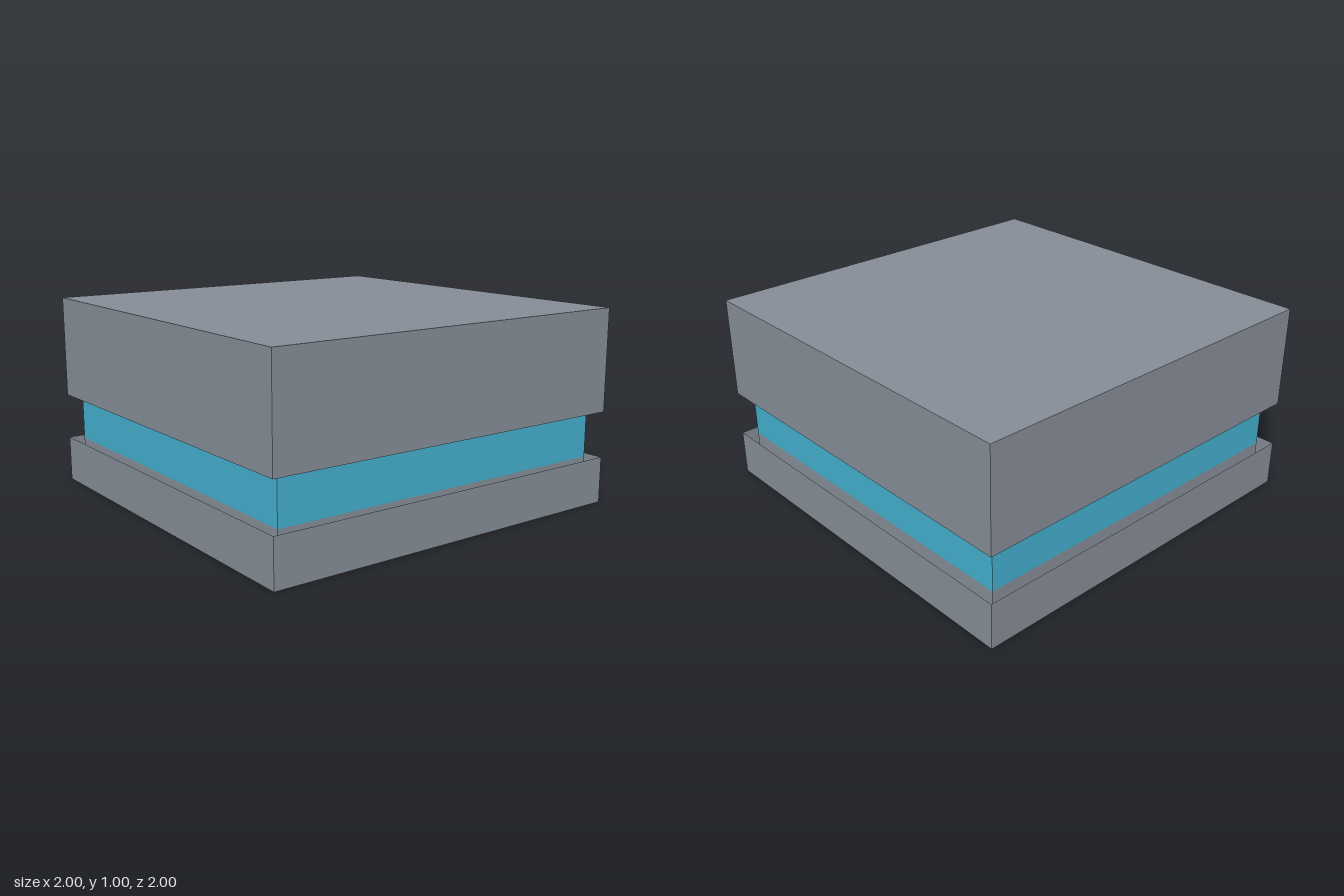
import * as THREE from 'three';

const WALL = 1;      // half width of the outer shells
const CORE = 0.94;   // half width of the inner core
const PANEL = 0.7;   // half width of the base panel
const LOW = 0.237, HIGH = 0.473; // lower and upper edge of the glowing band

export function createModel() {
  const grey = new THREE.MeshStandardMaterial({ color: 0x858c96, side: THREE.DoubleSide });
  grey.name = 'greyMetal';
  const blue = new THREE.MeshStandardMaterial({ color: 0x43aecc, side: THREE.DoubleSide });
  blue.name = 'cyanBlue';

  const model = new THREE.Group();
  model.name = 'layeredBlock';

  const add = (name, geometry, material, y) => {
    const mesh = new THREE.Mesh(geometry, material);
    mesh.name = name;
    mesh.position.y = y;
    model.add(mesh);
  };

  // Four thin upright walls, open above and below
  const walls = (name, half, y0, y1, material) => {
    const r = half * Math.SQRT2;
    const geometry = new THREE.CylinderGeometry(r, r, y1 - y0, 4, 1, true, Math.PI / 4).toNonIndexed();
    geometry.computeVertexNormals();
    add(name, geometry, material, (y0 + y1) / 2);
  };

  // Flat square, optionally with a square hole, facing up (1) or down (-1)
  const square = (path, h) => {
    path.moveTo(-h, -h).lineTo(h, -h).lineTo(h, h).lineTo(-h, h).closePath();
    return path;
  };
  const plate = (name, half, hole, facing, material, y) => {
    const shape = square(new THREE.Shape(), half);
    if (hole) shape.holes.push(square(new THREE.Path(), hole));
    const geometry = new THREE.ShapeGeometry(shape).rotateX(-facing * Math.PI / 2);
    add(name, geometry, material, y);
  };

  // Hollow outer shells with a gap around the core
  walls('lowerShell', WALL, 0, LOW, grey);
  walls('upperShell', WALL, HIGH, 1, grey);
  plate('lid', WALL, 0, 1, grey, 1);

  // Inner core with its coloured band
  walls('coreBottom', CORE, 0, LOW, grey);
  walls('coreBand', CORE, LOW, HIGH, blue);
  walls('coreTop', CORE, HIGH, 1, grey);

  // Underside of the core
  plate('baseFrame', CORE, PANEL, -1, grey, 0);
  plate('basePanel', PANEL, 0, -1, blue, 0);

  return model;
}
